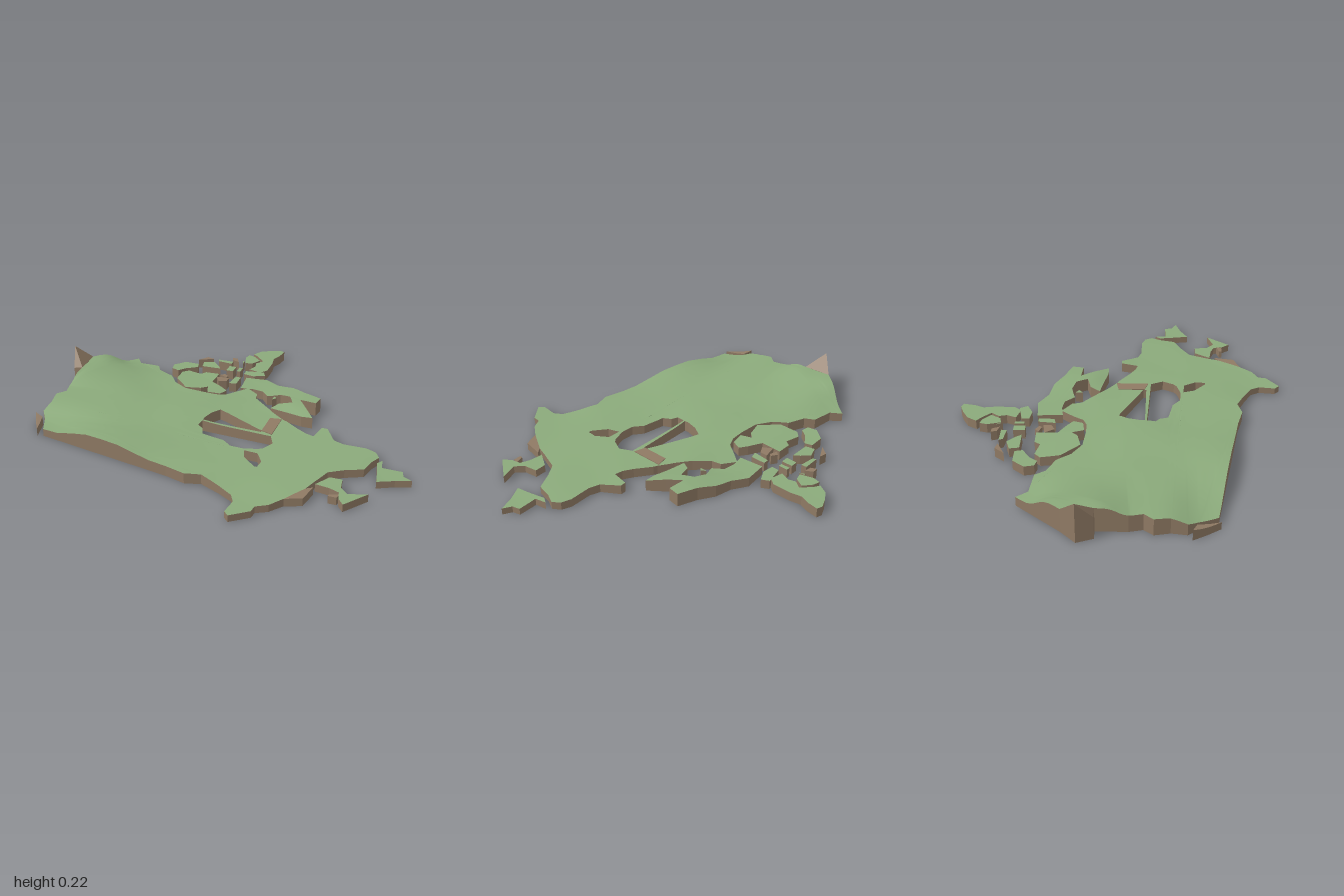
import * as THREE from 'three';
import { mergeVertices } from 'three/addons/utils/BufferGeometryUtils.js';
import { ConvexGeometry } from 'three/addons/geometries/ConvexGeometry.js';

const green = new THREE.MeshStandardMaterial({ name: 'land green', color: 0x8baa7b });
const brown = new THREE.MeshStandardMaterial({ name: 'earth brown', color: 0x8f7a64 });

// Relief: x, z and height of a few spots, blended by distance
const spots = [
  [-0.92, -0.1, 0.13], [-0.93, -0.25, 0.13], [-0.75, -0.47, 0.05], [-0.9, 0.1, 0.09],
  [-0.86, 0.45, 0.04], [-0.5, 0.52, 0.09], [-0.7, 0.1, 0.085], [-0.1, 0.6, 0.055],
  [-0.3, 0.1, 0.07], [-0.4, -0.2, 0.06], [0, 0.3, 0.05], [0.3, 0.8, 0.035],
  [0.6, 0.2, 0.045], [0.95, 0.3, 0.035], [0.33, -0.25, 0.075], [0, -0.3, 0.05],
  [0, -0.6, 0.05], [-0.4, -0.45, 0.05], [0.25, 0, 0.05], [0.7, 0.5, 0.04],
];
function height(x, z) {
  let sum = 0, total = 0;
  for (const [sx, sz, h] of spots) {
    const w = 1 / ((x - sx) ** 2 + (z - sz) ** 2 + 1e-5) ** 1.5;
    sum += w * h;
    total += w;
  }
  return sum / total;
}

// Pairs of x, z in hundredths, turned to the wanted winding
function ring(flat, hole) {
  const points = [];
  for (let i = 0; i < flat.length; i += 2) points.push(new THREE.Vector2(flat[i] / 100, flat[i + 1] / 100));
  if (THREE.ShapeUtils.isClockWise(points) !== hole) points.reverse();
  return points;
}

function meshFrom(name, positions, material, smooth) {
  let geometry = new THREE.BufferGeometry();
  geometry.setAttribute('position', new THREE.Float32BufferAttribute(positions, 3));
  if (smooth) geometry = mergeVertices(geometry);
  geometry.computeVertexNormals();
  const mesh = new THREE.Mesh(geometry, material);
  mesh.name = name;
  return mesh;
}

// A slab of land: relief top, upright cliffs and flat underside
function land(name, outline, { holes = [], levels = 1, topMaterial = green, lift = 0 } = {}) {
  const outer = ring(outline, false);
  const inner = holes.map((h) => ring(h, true));
  const all = [outer, ...inner].flat();
  const top = [], earth = [];
  const put = (list, p, y) => list.push(p.x, y, p.y);
  const h = (p) => height(p.x, p.y) + lift;
  const split = (a, b, c, n) => {
    if (n === 0) return [a, b, c].forEach((p) => put(top, p, h(p)));
    const [ab, bc, ca] = [[a, b], [b, c], [c, a]].map(([p, q]) => p.clone().add(q).multiplyScalar(0.5));
    split(a, ab, ca, n - 1);
    split(ab, b, bc, n - 1);
    split(ca, bc, c, n - 1);
    split(ab, bc, ca, n - 1);
  };
  for (const face of THREE.ShapeUtils.triangulateShape(outer, inner)) {
    let [a, b, c] = face.map((i) => all[i]);
    if (b.clone().sub(a).cross(c.clone().sub(a)) > 0) [b, c] = [c, b];
    split(a, b, c, levels);
    [a, c, b].forEach((p) => put(earth, p, 0));
  }
  const steps = 2 ** levels;
  for (const loop of [outer, ...inner]) {
    loop.forEach((start, i) => {
      const end = loop[(i + 1) % loop.length];
      for (let s = 0; s < steps; s++) {
        const a = start.clone().lerp(end, s / steps), b = start.clone().lerp(end, (s + 1) / steps);
        put(earth, a, 0); put(earth, b, h(b)); put(earth, b, 0);
        put(earth, a, 0); put(earth, a, h(a)); put(earth, b, h(b));
      }
    });
  }
  const group = new THREE.Group();
  group.name = name;
  group.add(meshFrom(name + 'Top', top, topMaterial, true), meshFrom(name + 'Cliffs', earth, brown, false));
  return group;
}

export function createModel() {
  const model = new THREE.Group();
  model.name = 'reliefMap';
  const add = (...args) => model.add(land(...args));
  const bare = { topMaterial: brown };

  // Mainland with the openings of the great bay
  add('mainland', [
    -75, -47, -71, -41.5, -59, -40, -56, -35, -47, -31, -42, -24, -34, -19, -23, -18, -16, -18, -11, -20,
    -7.5, -25, -2, -32, 5, -27, 6, -22, 13, -15, 20, -9, 27, -4, 29, -3, 33, 0, 37, 3, 42, 6, 46, 7,
    48, -2, 51, -2, 56.5, 7, 62, 9, 73.5, 9, 78.5, 11, 81, 15, 78.5, 20, 76.5, 28, 68, 32, 61, 36.5,
    57, 47, 55, 53, 48, 64.5, 43, 71, 37.5, 74, 37, 78, 28.5, 84.5, 26, 82, 27, 73.5, 24.5, 69, 17.5, 65,
    6.5, 60, -1.5, 62, -12, 59, -86, 45, -90, 36, -93.5, 31, -92.5, 23.5, -94, 16, -90.5, 11.5, -92, 5,
    -92, -10, -93, -25,
  ], {
    levels: 3,
    holes: [
      [-7, -2, -2, 0, 20, 10.5, 20, 12, -11.5, 11.5, -11.5, 9, -10, 3],
      [-11.5, 12.5, 26, 14.5, 29, 21, 26, 27, 24, 28.5, 17, 30.5, 10, 30, 5, 26, -7, 23.5, -9, 19, -12, 17],
      [18, 32, 25, 32.5, 29, 39, 28.5, 44, 27, 44, 20, 38],
    ],
  });

  // Steep bare peak on the western corner
  const peak = new THREE.Mesh(new ConvexGeometry([
    [-1, 0, -0.18], [-1, 0.215, -0.18], [-0.93, 0, -0.25], [-0.93, 0.13, -0.25],
    [-0.92, 0, -0.1], [-0.92, 0.13, -0.1], [-0.97, 0, -0.1], [-0.97, 0.12, -0.1],
  ].map((p) => new THREE.Vector3(...p))), brown);
  peak.name = 'westernPeak';
  model.add(peak);

  // Bare ground beside the bay and on the coasts
  add('bayShore', [20, -3, 26, -4, 26, 13, 20, 11], { ...bare, lift: 0.004 });
  add('southeastShore', [48, 64.5, 55, 53, 58, 51, 56, 61.5], bare);
  add('westIsland', [-97, 33, -92, 35, -89, 46, -93, 40], bare);
  add('straitIslet', [66, 54, 71, 52.5, 70, 55.5, 66, 55.5], bare);

  // Eastern islands
  add('eastIsland', [83, 17, 84, 23, 94, 23, 95, 27, 99.5, 29.5, 92, 32, 84, 36, 83, 30, 81, 20]);
  add('southeastIsland', [58, 48, 63, 40, 69, 40, 70, 47, 74, 51, 83, 48, 74, 60, 71, 56, 70, 51, 65, 49]);

  // Northern islands
  add('northeastIsland', [
    -7, -44, 5, -45, 13, -40, 22, -38, 30, -33, 40, -29, 39, -23, 30, -24, 35, -17, 41, -9, 35, -9,
    27, -11, 17, -13, 20, -18, 27, -20, 24, -26, 18, -28, 11, -26, 7, -31, 1, -32, -6, -31,
  ], { levels: 2 });
  add('farNorthIsland', [
    0, -85, 3, -84, 2, -78, 0, -73, 1, -67, 1, -57, -2, -53, -9, -55, -7, -60, -8, -64, -5, -68,
    -10, -73, -13, -75, -10, -80, -5, -83,
  ]);
  add('farNorthWestIsland', [-15, -73, -11.5, -72, -7, -68, -10, -63, -14, -62, -16, -69]);
  add('northStripIsland', [-10, -52, 0, -54, 2, -50, -4, -47, -10, -48]);
  add('midNorthIsland', [-21, -55, -17, -55, -17, -49, -21, -49]);
  add('midNorthIslet', [-15, -55, -13, -55, -13, -50, -15, -50]);
  add('upperWestIsland', [-37, -55, -31, -57, -27, -53, -25, -50, -30, -50, -36, -50]);
  add('northwestIsland', [-52, -46, -47, -52, -39, -52, -38, -48, -44, -44, -47, -40, -51, -41]);
  add('largeNorthIsland', [
    -44, -39, -41, -42, -33, -40, -31, -43, -23, -43, -23, -32, -16, -28, -12, -25, -14, -20, -21, -19,
    -23, -25, -26, -22, -34, -20, -39, -25, -43, -29,
  ]);
  add('channelIsland', [-13, -43, -10, -43, -10, -35, -14, -34]);
  add('bareChannelIsland', [-23, -39, -16, -40, -16, -36, -20, -34], bare);
  add('channelIslet', [-22, -42, -20, -44, -17, -42, -18, -40.5], bare);
  add('northSliver', [-41, -57, -37, -62, -33, -61, -39, -58], bare);
  add('northBareIslet', [-23, -66, -20, -66, -18, -62, -22, -63], bare);
  add('northNarrowIslet', [-30, -61, -21, -61, -21, -58, -29, -59]);
  add('northTinyIslet', [-16, -64, -15, -64, -15, -61]);
  add('bayIslet', [15, -26, 17, -24, 15, -22]);
  return model;
}
